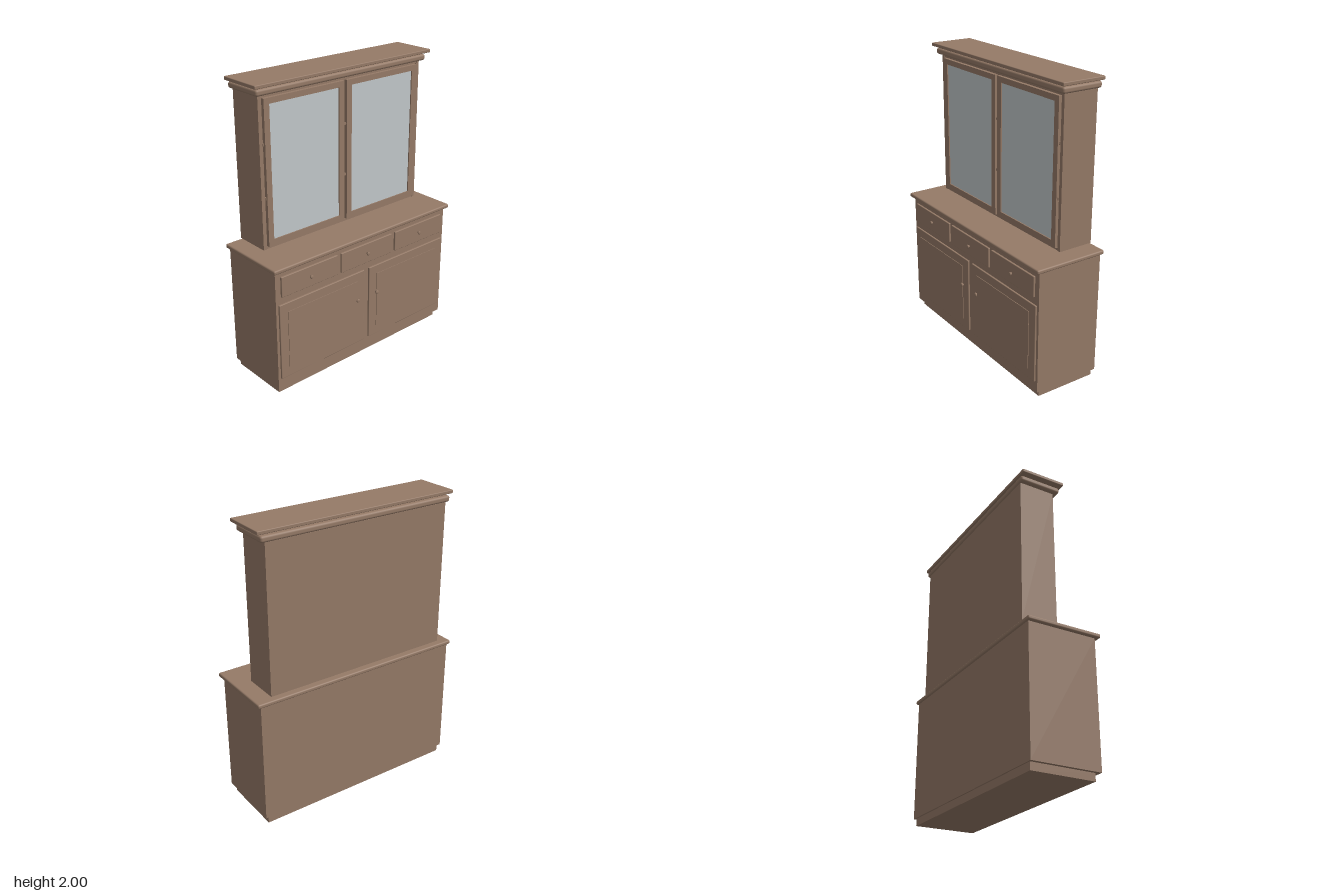
import * as THREE from 'three';
import { RoundedBoxGeometry } from 'three/addons/geometries/RoundedBoxGeometry.js';

export function createModel() {
  const model = new THREE.Group();
  model.name = 'hutchCabinet';
  const wood = new THREE.MeshStandardMaterial({ name: 'brown wood', color: 0x957a67 });
  const glass = new THREE.MeshStandardMaterial({ name: 'pale glass', color: 0xc2c8ca });

  function add(name, geometry, material = wood) {
    const mesh = new THREE.Mesh(geometry, material);
    mesh.name = name;
    model.add(mesh);
    return mesh;
  }

  // Box given by its extents; a radius rounds its edges
  function box(name, x0, x1, y0, y1, z0, z1, radius = 0, material = wood) {
    const size = [x1 - x0, y1 - y0, z1 - z0];
    const geometry = radius
      ? new RoundedBoxGeometry(...size, 3, radius)
      : new THREE.BoxGeometry(...size);
    const mesh = add(name, geometry, material);
    mesh.position.set((x0 + x1) / 2, (y0 + y1) / 2, (z0 + z1) / 2);
    return mesh;
  }

  // Turned knob with a slim neck, pointing forward
  function knob(name, x, y, z, r, length) {
    const profile = [[0, 0], [0.6, 0], [0.6, 0.35], [1, 0.5], [1, 0.8], [0.7, 1], [0, 1]]
      .map(([a, b]) => new THREE.Vector2(a * r, b * length));
    const mesh = add(name, new THREE.LatheGeometry(profile, 16));
    mesh.rotation.x = Math.PI / 2;
    mesh.position.set(x, y, z);
  }

  // Rectangular frame with an opening
  function frame(name, x0, x1, y0, y1, hx0, hx1, hy0, hy1, z, depth) {
    const rect = (path, a, b, c, d) =>
      path.moveTo(a, c).lineTo(b, c).lineTo(b, d).lineTo(a, d).closePath();
    const shape = new THREE.Shape();
    const hole = new THREE.Path();
    rect(shape, x0, x1, y0, y1);
    rect(hole, hx0, hx1, hy0, hy1);
    shape.holes.push(hole);
    const mesh = add(name, new THREE.ExtrudeGeometry(shape, { depth, bevelEnabled: false }));
    mesh.position.z = z;
  }

  // Lower cabinet
  box('plinth', -0.73, 0.73, 0, 0.05, -0.234, 0.197);
  box('baseCabinet', -0.752, 0.752, 0.05, 0.89, -0.244, 0.227);
  box('countertop', -0.775, 0.775, 0.89, 0.918, -0.257, 0.257, 0.01);

  // Drawers
  for (const x of [-0.485, 0, 0.485]) {
    box('drawerFront', x - 0.227, x + 0.227, 0.71, 0.85, 0.215, 0.24, 0.004);
    knob('drawerKnob', x, 0.78, 0.24, 0.012, 0.017);
  }

  // Upper cabinet: filled carcass, side panels and rails
  box('hutchCarcass', -0.646, 0.646, 0.935, 1.925, -0.234, 0);
  box('hutchTopRail', -0.646, 0.646, 1.905, 1.925, 0, 0.008);
  box('hutchBottomRail', -0.646, 0.646, 0.935, 0.95, 0, 0.008);

  for (const side of [-1, 1]) {
    // Mirrored extents stay in ascending order
    const span = (a, b) => (side > 0 ? [a, b] : [-b, -a]);

    // Lower doors with raised panels
    box('lowerDoor', ...span(0.022, 0.733), 0.123, 0.66, 0.215, 0.239, 0.004);
    box('doorPanel', ...span(0.09, 0.67), 0.188, 0.598, 0.23, 0.243);
    knob('doorKnob', side * 0.087, 0.457, 0.239, 0.014, 0.018);

    // Side panels and glazed doors
    box('hutchSide', ...span(0.646, 0.67), 0.935, 1.925, -0.234, 0.012);
    frame('glassDoorFrame', ...span(0.011, 0.635), 0.951, 1.902,
      ...span(0.053, 0.595), 0.993, 1.865, 0, 0.023);
    box('glassPane', ...span(0.05, 0.598), 0.99, 1.868, 0.008, 0.015, 0, glass);

    // Hinge pins
    for (const y of [1.275, 1.62]) {
      const pin = add('hingePin', new THREE.CylinderGeometry(0.005, 0.005, 0.018, 10));
      pin.position.set(side * 0.64, y, 0.01);
    }
  }

  // Small catches between the glazed doors
  for (const y of [1.275, 1.62]) {
    const pin = add('doorCatch', new THREE.CylinderGeometry(0.009, 0.009, 0.018, 12));
    pin.rotation.x = Math.PI / 2;
    pin.position.set(0, y, 0.01);
  }

  // Stepped cornice
  box('corniceMoulding', -0.7, 0.7, 1.925, 1.966, -0.244, 0.044, 0.015);
  box('corniceTop', -0.722, 0.722, 1.977, 2, -0.244, 0.064, 0.005);

  return model;
}
